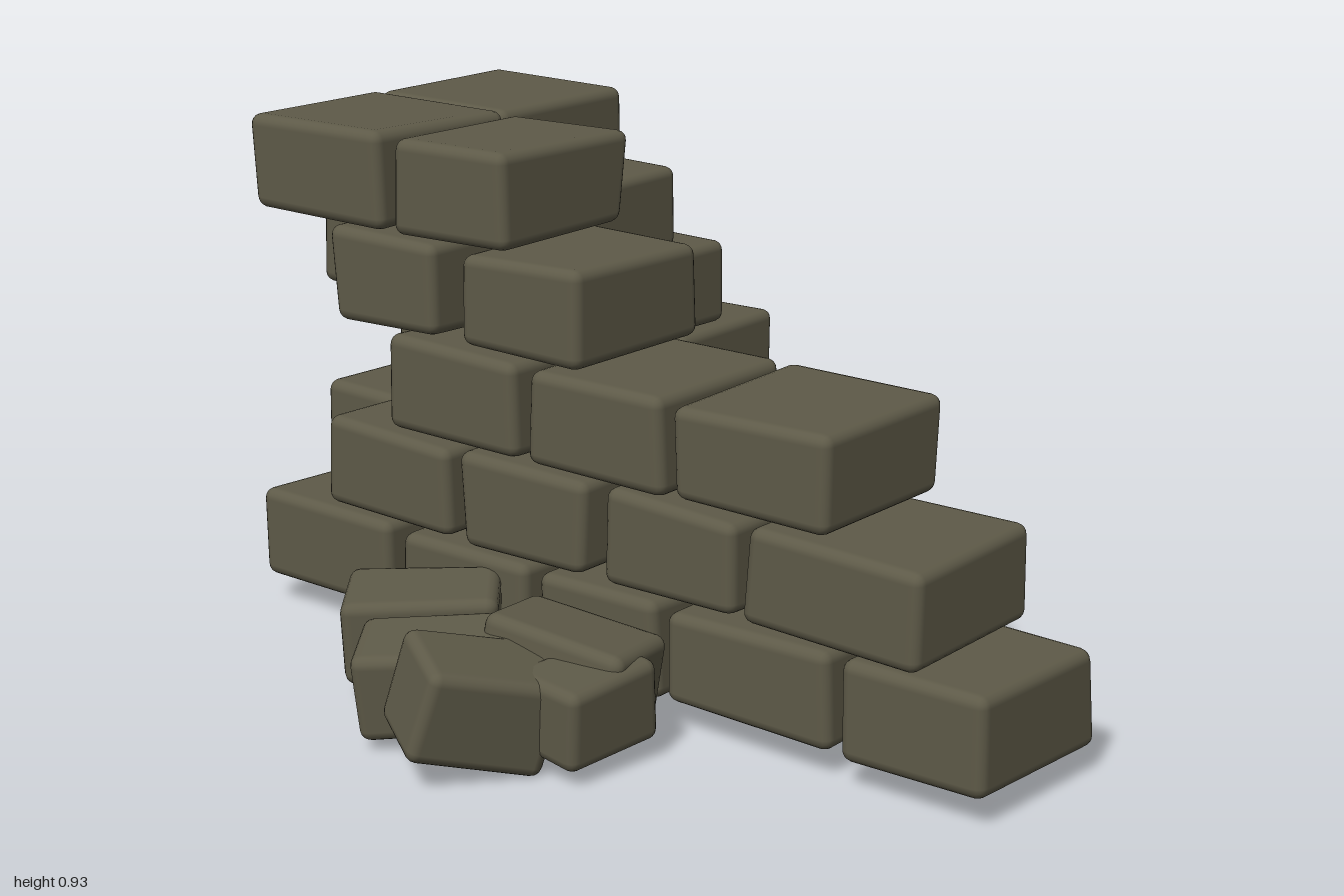
import * as THREE from 'three';
import { RoundedBoxGeometry } from 'three/addons/geometries/RoundedBoxGeometry.js';

const stone = new THREE.MeshStandardMaterial({ color: 0x5e5a48 });
stone.name = 'mossy stone';

// small seeded random, -1..1
function makeRandom(seed) {
  let s = seed;
  return () => {
    s = (s * 16807) % 2147483647;
    return (s / 2147483647) * 2 - 1;
  };
}

// Rounded block whose eight corners are nudged, blended smoothly between them
function brickGeometry(w, h, d, rand, wobble = 0.006) {
  const geo = new RoundedBoxGeometry(w, h, d, 2, 0.02);
  const nudges = Array.from({ length: 8 }, () => [rand() * wobble, rand() * wobble, rand() * wobble]);
  const pos = geo.attributes.position;
  for (let i = 0; i < pos.count; i++) {
    const p = [pos.getX(i), pos.getY(i), pos.getZ(i)];
    const t = [p[0] / w + 0.5, p[1] / h + 0.5, p[2] / d + 0.5];
    nudges.forEach((n, c) => {
      let k = 1;
      for (let a = 0; a < 3; a++) k *= (c >> a) & 1 ? t[a] : 1 - t[a];
      for (let a = 0; a < 3; a++) p[a] += n[a] * k;
    });
    pos.setXYZ(i, p[0], p[1], p[2]);
  }
  return geo;
}

export function createModel() {
  const model = new THREE.Group();
  model.name = 'ruinedWallCorner';
  const rand = makeRandom(4711);

  function addBrick(parent, name, size, at, turn = [0, 0, 0]) {
    const mesh = new THREE.Mesh(brickGeometry(...size, rand), stone);
    mesh.name = name;
    mesh.position.set(...at);
    mesh.rotation.set(...turn, 'YXZ');
    parent.add(mesh);
  }

  const rowBase = 0.063, rowStep = 0.177, rowHeight = 0.167, depth = 0.32;
  const rowY = (row) => rowBase + row * rowStep + rowHeight / 2;

  // Front wall: x ranges of the bricks in each course, bottom to top
  const frontRows = [
    [[-0.615, -0.29], [-0.255, 0.05], [0.075, 0.335], [0.36, 0.695], [0.715, 0.99]],
    [[-0.44, -0.14], [-0.105, 0.175], [0.225, 0.5], [0.52, 0.86]],
    [[-0.28, 0.025], [0.055, 0.345], [0.37, 0.685]],
    [[-0.415, -0.16], [-0.095, 0.17]],
    [[-0.615, -0.29], [-0.26, 0.005]],
  ];
  const frontWall = new THREE.Group();
  frontWall.name = 'frontWall';
  frontRows.forEach((bricks, row) => bricks.forEach(([a, b]) =>
    addBrick(frontWall, 'frontWallBrick', [b - a, rowHeight, depth], [(a + b) / 2, rowY(row), 0.255])));
  model.add(frontWall);

  // Side wall: z ranges of the bricks in each course, running backwards
  const sideRows = [
    [[-0.225, 0.085], [-0.54, -0.25], [-0.86, -0.58]],
    [[-0.035, 0.25], [-0.37, -0.09], [-0.705, -0.41]],
    [[-0.2, 0.065], [-0.55, -0.235]],
    [[-0.05, 0.25], [-0.395, -0.07]],
    [[-0.235, 0.095]],
  ];
  const sideWall = new THREE.Group();
  sideWall.name = 'sideWall';
  sideRows.forEach((bricks, row) => bricks.forEach(([a, b]) =>
    addBrick(sideWall, 'sideWallBrick', [depth, rowHeight, b - a], [-0.452, rowY(row), (a + b) / 2])));
  model.add(sideWall);

  // Fallen bricks: [size], [position], [pitch, yaw, roll]
  const frontRubble = [
    [[0.26, 0.15, 0.18], [-0.08, 0.13, 0.53], [0.05, 0.7, 0.04]],
    [[0.27, 0.15, 0.17], [0.1, 0.125, 0.67], [0.1, 0.64, 0.06]],
    [[0.27, 0.14, 0.17], [0.265, 0.145, 0.54], [-0.1, 0.2, -0.1]],
    [[0.24, 0.16, 0.17], [0.225, 0.13, 0.73], [0.15, 1.05, -0.25]],
    [[0.2, 0.14, 0.15], [0.35, 0.12, 0.6], [0.05, 1.5, 0.05]],
  ];
  const sideRubble = [
    [[0.16, 0.14, 0.26], [-0.715, 0.13, -0.58], [0.08, -0.28, -0.12]],
    [[0.16, 0.14, 0.27], [-0.8, 0.12, -0.59], [-0.1, -0.55, -0.15]],
    [[0.24, 0.15, 0.16], [-0.85, 0.145, -0.62], [0.05, -0.3, -0.2]],
    [[0.17, 0.15, 0.2], [-0.89, 0.14, -0.5], [0.1, -0.6, -0.25]],
  ];
  [['frontRubble', frontRubble], ['sideRubble', sideRubble]].forEach(([name, list]) => {
    const pile = new THREE.Group();
    pile.name = name;
    list.forEach(([size, at, turn]) => addBrick(pile, 'fallenBrick', size, at, turn));
    model.add(pile);
  });

  return model;
}
